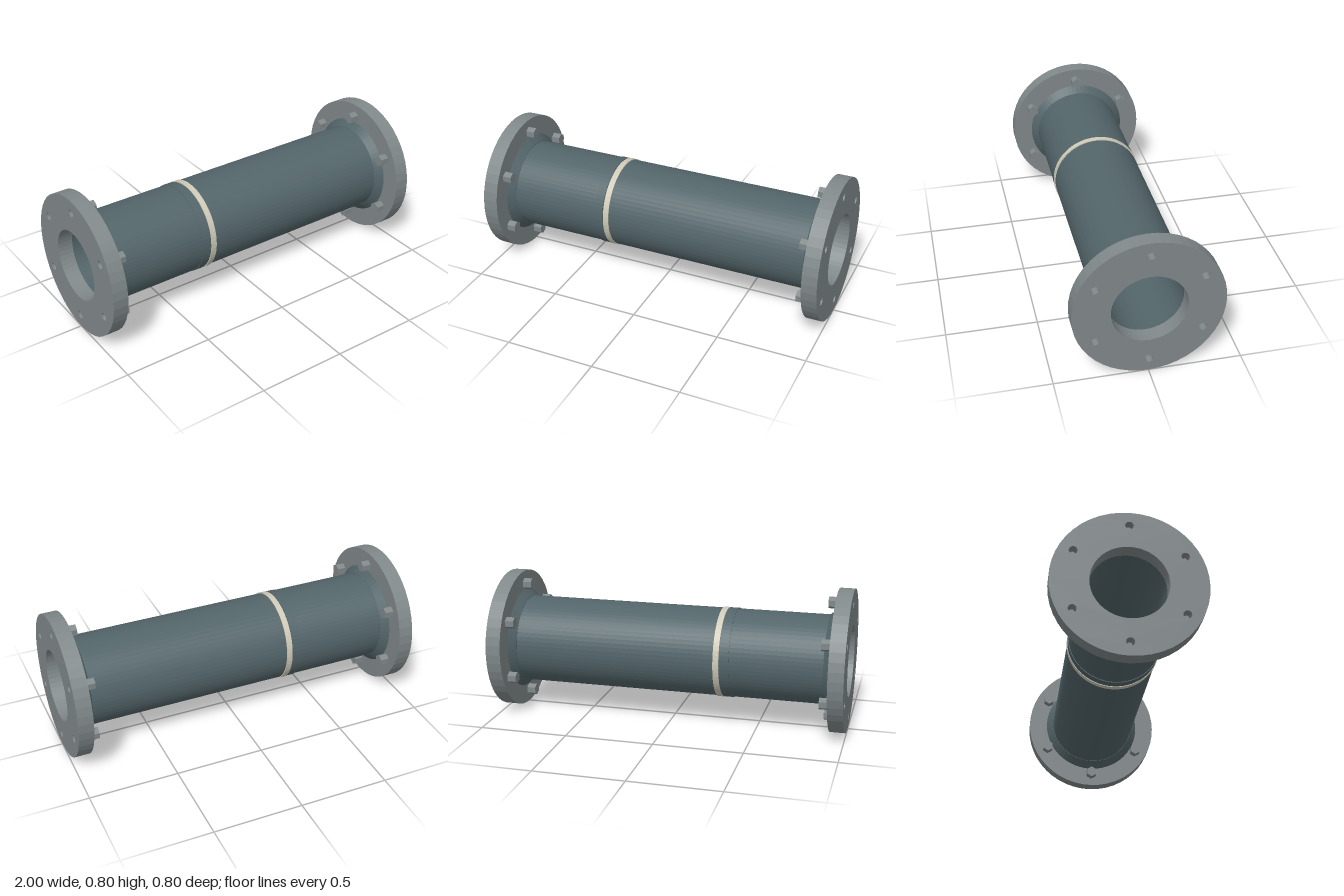
import * as THREE from 'three';

const AXIS_Y = 0.4;

// Faceted normals
function faceted(geometry) {
  const g = geometry.index ? geometry.toNonIndexed() : geometry;
  g.computeVertexNormals();
  return g;
}

// Solid of revolution around the x axis; profile is a closed loop of [x, radius]
function revolve(profile, segments) {
  const points = [...profile, profile[0]].map(([x, r]) => new THREE.Vector2(r, x));
  return faceted(new THREE.LatheGeometry(points, segments).rotateZ(-Math.PI / 2));
}

function ring(x0, x1, inner, outer, segments = 64) {
  return revolve([[x0, outer], [x1, outer], [x1, inner], [x0, inner]], segments);
}

function rod(x0, x1, radius, sides) {
  const g = new THREE.CylinderGeometry(radius, radius, x1 - x0, sides);
  return faceted(g.rotateZ(-Math.PI / 2).translate((x0 + x1) / 2, 0, 0));
}

export function createModel() {
  const model = new THREE.Group();
  model.name = 'flangedPipe';

  const pipePaint = new THREE.MeshStandardMaterial({ color: 0x53656a });
  const steel = new THREE.MeshStandardMaterial({ color: 0x80888a });
  const cream = new THREE.MeshStandardMaterial({ color: 0xcfcab8 });
  pipePaint.name = 'pipePaint';
  steel.name = 'steel';
  cream.name = 'cream';

  const add = (parent, name, geometry, material) => {
    const mesh = new THREE.Mesh(geometry, material);
    mesh.name = name;
    parent.add(mesh);
    return mesh;
  };

  // Pipe with its coupling sleeve and marking band
  const body = new THREE.Group();
  body.name = 'pipeBody';
  body.position.y = AXIS_Y;
  model.add(body);
  add(body, 'pipe', ring(-0.915, 0.915, 0.203, 0.25), pipePaint);
  add(body, 'sleeve', ring(-0.36, -0.31, 0.24, 0.2535), pipePaint);
  add(body, 'markingBand', ring(-0.305, -0.272, 0.24, 0.255), cream);

  // Bolt circle
  const bolts = Array.from({ length: 6 }, (_, i) => {
    const a = Math.PI / 6 + (i * Math.PI) / 3;
    return [0.325 * Math.cos(a), 0.325 * Math.sin(a)];
  });

  // Flange disc with bore and bolt holes
  const disc = new THREE.Shape();
  disc.absarc(0, 0, 0.4, 0, Math.PI * 2, false);
  const hole = (x, y, r) => disc.holes.push(new THREE.Path().absarc(x, y, r, 0, Math.PI * 2, true));
  hole(0, 0, 0.2);
  bolts.forEach(([x, y]) => hole(x, y, 0.022));
  const flangeGeometry = new THREE.ExtrudeGeometry(disc, {
    depth: 0.085, bevelEnabled: false, curveSegments: 24,
  }).rotateY(Math.PI / 2).translate(0.915, 0, 0);

  const collarGeometry = revolve([[0.875, 0.252], [0.915, 0.29], [0.915, 0.24], [0.875, 0.24]], 64);
  const nutGeometry = rod(0.865, 0.915, 0.033, 6);
  const shankGeometry = rod(0.88, 0.96, 0.015, 16);

  // One flanged end at +x, the other turned half round
  for (const [name, turn] of [['leftEnd', 0], ['rightEnd', Math.PI]]) {
    const end = new THREE.Group();
    end.name = name;
    end.position.y = AXIS_Y;
    end.rotation.y = turn;
    model.add(end);
    add(end, 'flange', flangeGeometry, steel);
    add(end, 'weldCollar', collarGeometry, pipePaint);
    for (const [z, y] of bolts) {
      const nut = add(end, 'hexNut', nutGeometry, steel);
      // Corners point up and down
      nut.rotation.x = Math.PI / 2;
      nut.position.set(0, y, z);
      add(end, 'boltShank', shankGeometry, steel).position.set(0, y, z);
    }
  }
  return model;
}
